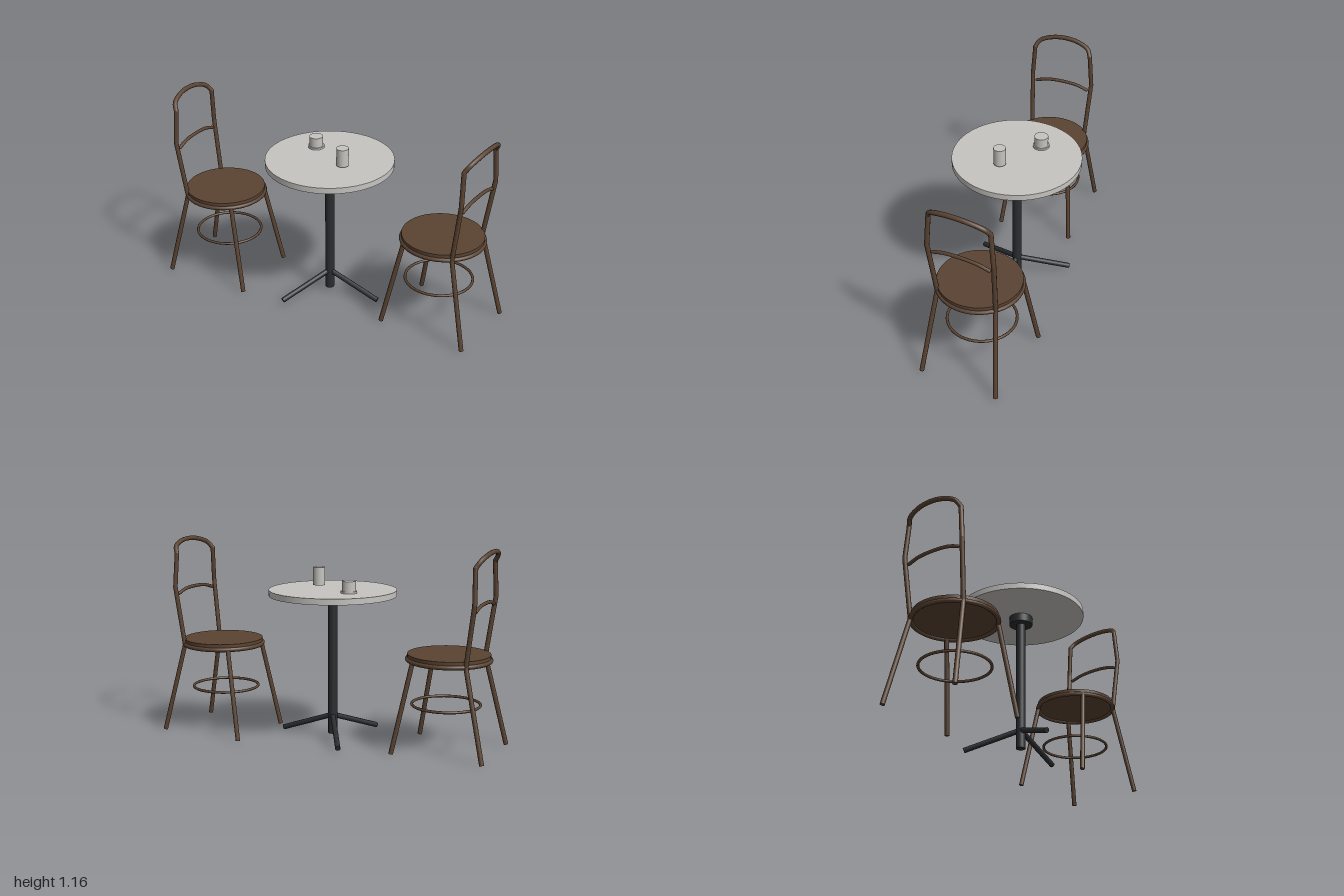
import * as THREE from 'three';

const wood = new THREE.MeshStandardMaterial({ color: 0x5a4332 });
wood.name = 'brown wood';
const stone = new THREE.MeshStandardMaterial({ color: 0xc6c4c0 });
stone.name = 'pale stone';
const iron = new THREE.MeshStandardMaterial({ color: 0x2b2d2f });
iron.name = 'dark iron';

const V = (x, y, z) => new THREE.Vector3(x, y, z);

function add(parent, name, geometry, material, x = 0, y = 0, z = 0) {
  const mesh = new THREE.Mesh(geometry, material);
  mesh.name = name;
  mesh.position.set(x, y, z);
  parent.add(mesh);
  return mesh;
}

// upright solid disc or cylinder between two heights
function disc(parent, name, r, y0, y1, material, x = 0, z = 0, sides = 48) {
  return add(parent, name, new THREE.CylinderGeometry(r, r, y1 - y0, sides), material, x, (y0 + y1) / 2, z);
}

// straight round bar between two points
function rod(parent, name, a, b, r, material) {
  const mesh = add(parent, name, new THREE.CylinderGeometry(r, r, a.distanceTo(b), 10), material);
  mesh.position.copy(a).add(b).multiplyScalar(0.5);
  mesh.quaternion.setFromUnitVectors(V(0, 1, 0), b.clone().sub(a).normalize());
}

// curved round bar with rounded ends
function bentRod(parent, name, points, r, material) {
  const curve = new THREE.CatmullRomCurve3(points);
  add(parent, name, new THREE.TubeGeometry(curve, 32, r, 10), material);
  for (const p of [points[0], points[points.length - 1]])
    add(parent, name + 'End', new THREE.SphereGeometry(r, 10, 8), material, p.x, p.y, p.z);
}

function ring(parent, name, radius, tube, y, x = 0) {
  const mesh = add(parent, name, new THREE.TorusGeometry(radius, tube, 10, 48), wood, x, y, 0);
  mesh.rotation.x = Math.PI / 2;
}

// chair facing its own +x
function makeChair(name) {
  const chair = new THREE.Group();
  chair.name = name;
  const r = 0.0135;

  disc(chair, 'seat', 0.235, 0.525, 0.557, wood);
  ring(chair, 'seatRim', 0.234, 0.013, 0.525);
  ring(chair, 'footRing', 0.194, 0.008, 0.263, 0.013);

  for (const s of [-1, 1]) {
    rod(chair, 'frontLeg', V(0.254, 0.003, s * 0.231), V(0.153, 0.525, s * 0.174), r, wood);
    // back leg runs on up into the bent back post
    const post = [
      V(-0.277, 0.003, s * 0.231), V(-0.157, 0.525, s * 0.176),
      V(-0.204, 0.872, s * 0.194), V(-0.199, 1.07, s * 0.178),
    ];
    for (let i = 0; i < 3; i++) {
      rod(chair, i ? 'backPost' : 'backLeg', post[i], post[i + 1], r, wood);
      if (i) add(chair, 'backJoint', new THREE.SphereGeometry(r, 10, 8), wood, ...post[i].toArray());
    }
  }

  // top arch leans backwards from the posts
  const arch = [[-0.178, 1.07], [-0.155, 1.106], [-0.085, 1.133], [0, 1.142], [0.085, 1.133], [0.155, 1.106], [0.178, 1.07]];
  bentRod(chair, 'backArch', arch.map(([z, y]) => V(-0.199 - (y - 1.07) * 0.62, y, z)), r, wood);

  bentRod(chair, 'backRail', [
    V(-0.2, 0.83, -0.165), V(-0.203, 0.849, -0.1), V(-0.204, 0.856, 0),
    V(-0.203, 0.849, 0.1), V(-0.2, 0.83, 0.165),
  ], 0.01, wood);
  return chair;
}

function makeTable() {
  const table = new THREE.Group();
  table.name = 'table';
  disc(table, 'tableTop', 0.37, 0.85, 0.885, stone, 0, 0, 64);
  disc(table, 'topBracket', 0.068, 0.803, 0.85, iron, 0, 0, 32);
  disc(table, 'column', 0.027, 0.028, 0.81, iron, 0, 0, 20);
  for (let i = 0; i < 3; i++) {
    const a = (i * Math.PI * 2) / 3;
    rod(table, 'tableLeg', V(0, 0.14, 0), V(0.323 * Math.cos(a), 0.026, 0.323 * Math.sin(a)), 0.0155, iron);
  }

  // things on the table
  disc(table, 'saucer', 0.047, 0.885, 0.896, stone, -0.143, -0.093, 32);
  disc(table, 'cup', 0.04, 0.896, 0.953, stone, -0.143, -0.093, 32);
  disc(table, 'glass', 0.035, 0.896, 1.0, stone, 0.115, 0.058, 32);
  return table;
}

export function createModel() {
  const model = new THREE.Group();
  model.name = 'cafeSet';

  const table = makeTable();
  table.position.x = -0.012;

  const rightChair = makeChair('rightChair');
  rightChair.position.set(-0.707, 0, 0.053);

  const leftChair = makeChair('leftChair');
  leftChair.position.set(0.684, 0, -0.063);
  leftChair.rotation.y = Math.PI - 0.09;

  model.add(table, rightChair, leftChair);
  return model;
}
